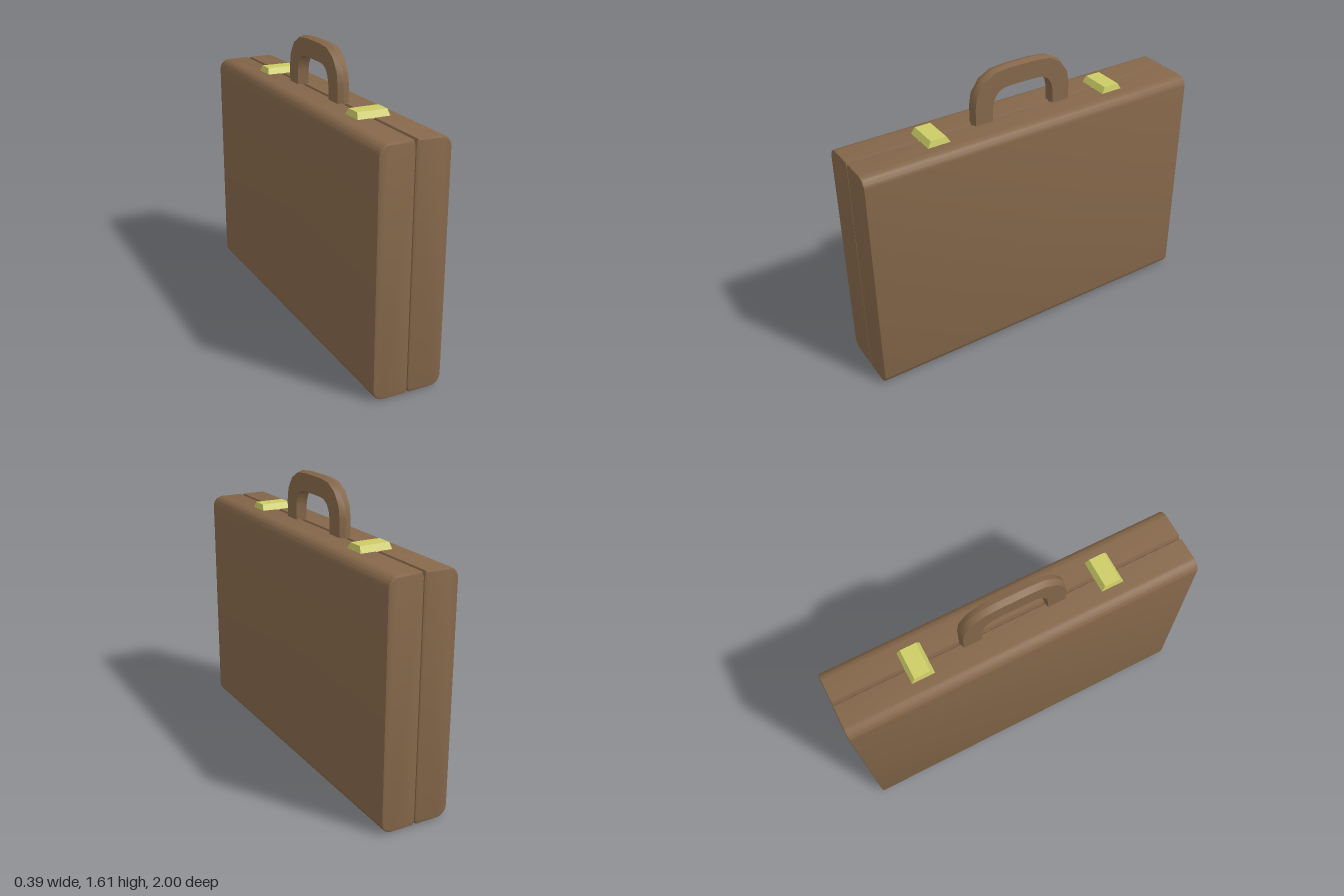
import * as THREE from 'three';
import { toCreasedNormals } from 'three/addons/utils/BufferGeometryUtils.js';

const leather = new THREE.MeshStandardMaterial({ color: 0x85674a });
const brass = new THREE.MeshStandardMaterial({ color: 0xcccc66, flatShading: true });

const HEIGHT = 1.322, HALF_WIDTH = 0.195, RADIUS = 0.06, BEVEL = 0.01;

// One half of the case: rounded outer corners, chamfered along the seam
function shellGeometry() {
  const w = HALF_WIDTH, h = HEIGHT, r = RADIUS;
  const s = new THREE.Shape();
  s.moveTo(0, 0.025);
  s.lineTo(0.011, 0);
  s.lineTo(w - r, 0);
  s.absarc(w - r, r, r, -Math.PI / 2, 0, false);
  s.lineTo(w, h - r);
  s.absarc(w - r, h - r, r, 0, Math.PI / 2, false);
  s.lineTo(0.011, h);
  s.lineTo(0, h - 0.025);
  s.closePath();
  const geo = new THREE.ExtrudeGeometry(s, {
    depth: 2 - 2 * BEVEL, curveSegments: 6,
    bevelEnabled: true, bevelThickness: BEVEL, bevelSize: BEVEL, bevelOffset: -BEVEL, bevelSegments: 2,
  });
  geo.translate(0, 0, -1 + BEVEL);
  return toCreasedNormals(geo, 0.6);
}

// Arched handle: a crowned five-sided section swept through outer/inner point pairs
function handleGeometry() {
  // [outer z, outer y, inner z, inner y] from the foot to the middle
  const half = [
    [0.30, 1.30, 0.188, 1.30], [0.30, 1.42, 0.186, 1.40], [0.288, 1.49, 0.178, 1.44],
    [0.24, 1.56, 0.157, 1.475], [0.17, 1.60, 0.122, 1.495], [0.08, 1.61, 0.075, 1.50],
  ];
  const path = [...half, ...half.slice().reverse().map(([oz, oy, iz, iy]) => [-oz, oy, -iz, iy])];
  const w = 0.033, n = 5, pos = [], idx = [];
  for (const [oz, oy, iz, iy] of path) {
    const dz = iz - oz, dy = iy - oy, k = 0.01 / Math.hypot(dz, dy);
    const ez = oz + dz * k, ey = oy + dy * k;
    pos.push(0, oy, oz, w, ey, ez, w, iy, iz, -w, iy, iz, -w, ey, ez);
  }
  for (let i = 0; i < path.length - 1; i++) {
    for (let j = 0; j < n; j++) {
      const a = i * n + j, b = i * n + (j + 1) % n;
      idx.push(a, b, a + n, b, b + n, a + n);
    }
  }
  const geo = new THREE.BufferGeometry();
  geo.setAttribute('position', new THREE.Float32BufferAttribute(pos, 3));
  geo.setIndex(idx);
  return toCreasedNormals(geo, 0.5);
}

// Latch plate: a box whose top is tapered inwards
function latchGeometry() {
  const geo = new THREE.BoxGeometry(0.184, 0.035, 0.13);
  const p = geo.attributes.position;
  for (let i = 0; i < p.count; i++) {
    if (p.getY(i) > 0) {
      p.setX(i, p.getX(i) * 0.92);
      p.setZ(i, p.getZ(i) * 0.68);
    }
  }
  geo.computeVertexNormals();
  return geo;
}

export function createModel() {
  const model = new THREE.Group();
  model.name = 'briefcase';
  const add = (name, geo, mat) => {
    const mesh = new THREE.Mesh(geo, mat);
    mesh.name = name;
    model.add(mesh);
    return mesh;
  };

  // Two matching shells meeting at the seam
  const shell = shellGeometry();
  add('leftShell', shell, leather);
  add('rightShell', shell, leather).rotation.y = Math.PI;

  add('handle', handleGeometry(), leather);

  // A latch on each side of the handle
  const latch = latchGeometry();
  for (const [name, side] of [['frontLatch', 1], ['backLatch', -1]]) {
    add(name, latch, brass).position.set(0.006, 1.3375, side * 0.54);
  }
  return model;
}
